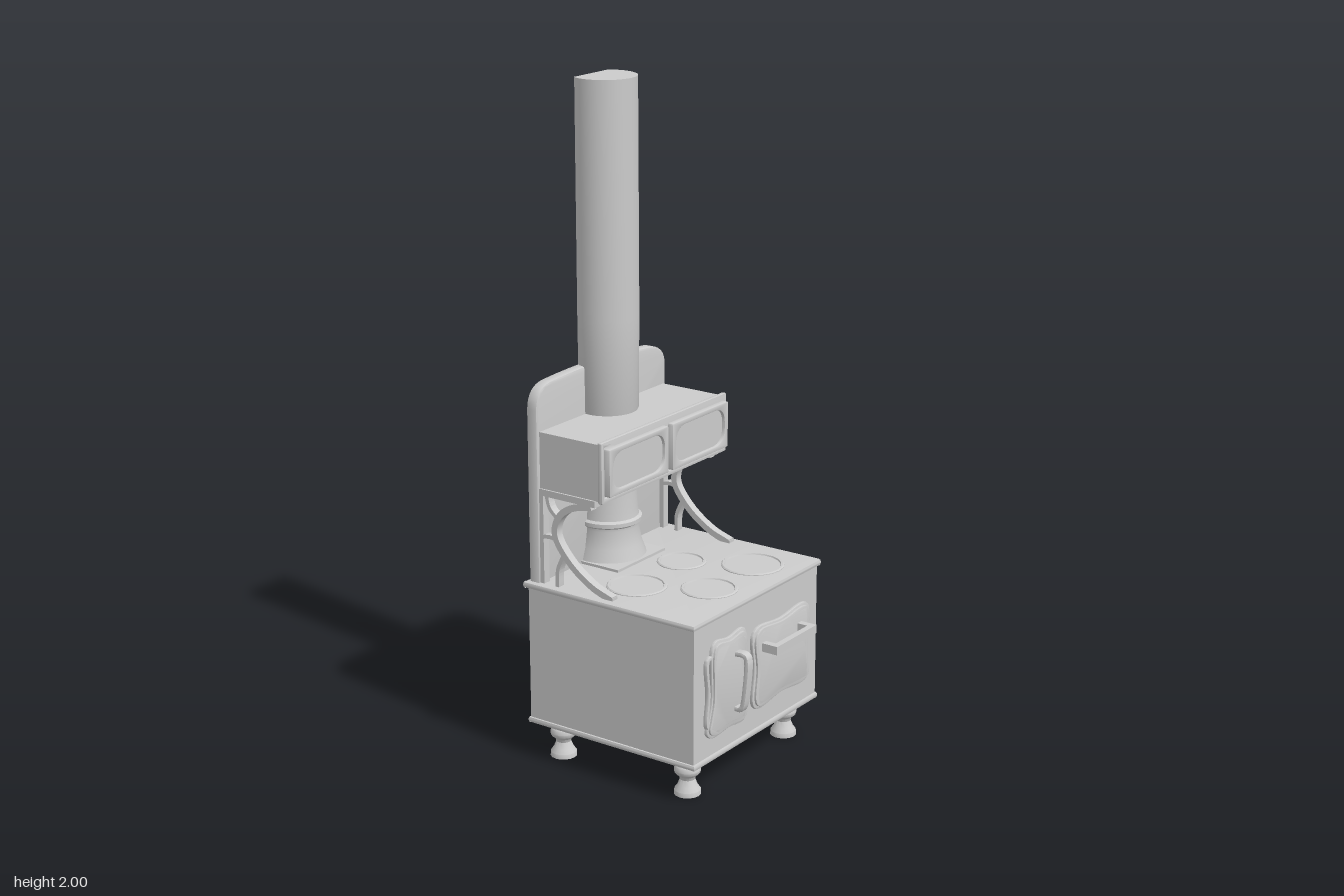
import * as THREE from 'three';
import { toCreasedNormals } from 'three/addons/utils/BufferGeometryUtils.js';

const material = new THREE.MeshStandardMaterial({ color: 0xcccccc });
const V2 = (p) => new THREE.Vector2(p[0], p[1]);

function add(parent, name, geometry, x = 0, y = 0, z = 0) {
  const mesh = new THREE.Mesh(toCreasedNormals(geometry, 0.6), material);
  mesh.name = name;
  mesh.position.set(x, y, z);
  parent.add(mesh);
  return mesh;
}

function addBox(parent, name, [x0, x1], [y0, y1], [z0, z1]) {
  return add(parent, name, new THREE.BoxGeometry(x1 - x0, y1 - y0, z1 - z0),
    (x0 + x1) / 2, (y0 + y1) / 2, (z0 + z1) / 2);
}

// Extrusion whose bevel stays inside the outline and the depth
function extrude(shape, depth, bevel = 0) {
  return new THREE.ExtrudeGeometry(shape, {
    depth: depth - 2 * bevel, bevelEnabled: bevel > 0, bevelThickness: bevel,
    bevelSize: bevel, bevelOffset: -bevel, bevelSegments: 2, curveSegments: 8,
  }).translate(0, 0, bevel);
}

function roundedRect(w, h, r, Type = THREE.Shape) {
  const s = new Type(), x = w / 2, y = h / 2;
  s.moveTo(-x + r, -y);
  s.lineTo(x - r, -y).quadraticCurveTo(x, -y, x, -y + r);
  s.lineTo(x, y - r).quadraticCurveTo(x, y, x - r, y);
  s.lineTo(-x + r, y).quadraticCurveTo(-x, y, -x, y - r);
  s.lineTo(-x, -y + r).quadraticCurveTo(-x, -y, -x + r, -y);
  return s;
}

// Strip of even thickness following a smooth path
function bandShape(points, thickness, tension = 0.5) {
  const curve = new THREE.CatmullRomCurve3(
    points.map(([x, y]) => new THREE.Vector3(x, y, 0)), false, 'catmullrom', tension);
  const left = [], right = [];
  for (let i = 0; i <= 24; i++) {
    const p = curve.getPoint(i / 24), t = curve.getTangent(i / 24);
    const nx = -t.y * thickness / 2, ny = t.x * thickness / 2;
    left.push(new THREE.Vector2(p.x + nx, p.y + ny));
    right.unshift(new THREE.Vector2(p.x - nx, p.y - ny));
  }
  return new THREE.Shape([...left, ...right]);
}

// Turns a (z, y) profile extrusion so that its width is centred on x = 0
function sideways(geometry, width) {
  return geometry.rotateY(-Math.PI / 2).translate(width / 2, 0, 0);
}

// Closed wavy outline, scaled about a centre
function wavyShape(points, cx, cy, scale) {
  const curve = new THREE.CatmullRomCurve3(points.map(([x, y]) =>
    new THREE.Vector3(cx + (x - cx) * scale, cy + (y - cy) * scale, 0)), true);
  return new THREE.Shape(curve.getPoints(60).slice(0, -1).map((p) => new THREE.Vector2(p.x, p.y)));
}

function slab(w, d, h, bevel) {
  return extrude(roundedRect(w, d, 0.002), h, bevel).rotateX(-Math.PI / 2);
}

function ovenDoor(parent, name, points, cx, cy) {
  const door = new THREE.Group();
  door.name = name;
  add(door, 'doorPlate', extrude(wavyShape(points, cx, cy, 1), 0.012, 0.004), 0, 0, 0.268);
  const frame = wavyShape(points, cx, cy, 0.94);
  frame.holes.push(wavyShape(points, cx, cy, 0.86));
  add(door, 'doorRim', extrude(frame, 0.01, 0.002), 0, 0, 0.276);
  parent.add(door);
  return door;
}

export function createModel() {
  const stove = new THREE.Group();
  stove.name = 'stove';

  // Oven body with bevelled base and cooking plates
  addBox(stove, 'ovenBody', [-0.32, 0.32], [0.115, 0.54], [-0.322, 0.267]);
  add(stove, 'basePlate', slab(0.65, 0.602, 0.018, 0.006), 0, 0.11, -0.028);
  add(stove, 'cookingPlate', slab(0.662, 0.61, 0.02, 0.008), 0, 0.537, -0.03);

  // Turned feet
  const foot = [[0, 0], [0.04, 0], [0.039, 0.014], [0.03, 0.026], [0.022, 0.046], [0.025, 0.056],
    [0.037, 0.066], [0.04, 0.076], [0.037, 0.088], [0.027, 0.098], [0.025, 0.115]].map(V2);
  for (const x of [-0.255, 0.25]) for (const z of [0.2, -0.252])
    add(stove, 'foot', new THREE.LatheGeometry(foot, 16), x, 0, z);

  // Burner lids with raised rims
  for (const [x, z, r] of [[-0.065, 0.143, 0.085], [0.172, 0.135, 0.095],
    [-0.167, -0.042, 0.09], [0.073, -0.053, 0.075]]) {
    const rim = [[0, 0], [r, 0], [r, 0.004], [r - 0.004, 0.007], [r - 0.01, 0.007],
      [r - 0.012, 0.003], [0, 0.003]].map(V2);
    add(stove, 'burner', new THREE.LatheGeometry(rim, 18), x, 0.555, z);
  }

  // Back panel with rounded upper corners and a slight arch
  const panel = new THREE.Shape();
  panel.moveTo(-0.315, 0.55);
  panel.lineTo(0.315, 0.55).lineTo(0.315, 1.08).quadraticCurveTo(0.312, 1.135, 0.24, 1.145);
  panel.quadraticCurveTo(0, 1.168, -0.24, 1.153);
  panel.quadraticCurveTo(-0.312, 1.148, -0.315, 1.08).lineTo(-0.315, 0.55);
  add(stove, 'backPanel', extrude(panel, 0.036, 0.006), 0, 0, -0.322);

  // Warming cabinet
  addBox(stove, 'warmingCabinet', [-0.303, 0.303], [0.845, 1.015], [-0.29, -0.068]);
  const rim = roundedRect(0.62, 0.182, 0.004);
  rim.holes.push(roundedRect(0.592, 0.152, 0.004, THREE.Path));
  add(stove, 'cabinetRim', extrude(rim, 0.016, 0.004), 0, 0.932, -0.073);
  for (const side of [-1, 1]) {
    const frame = roundedRect(0.285, 0.142, 0.006);
    frame.holes.push(roundedRect(0.25, 0.112, 0.05, THREE.Path));
    add(stove, 'cabinetDoor', extrude(frame, 0.03, 0.003), side * 0.153, 0.932, -0.07);
    add(stove, 'cabinetDoorInset', extrude(roundedRect(0.254, 0.116, 0.05), 0.02),
      side * 0.153, 0.932, -0.07);
  }

  // Curved shelf brackets
  for (const side of [-1, 1]) {
    const bracket = new THREE.Group();
    bracket.name = 'shelfBracket';
    bracket.position.x = side * 0.296;
    const w = 0.025;
    const curves = [
      [[-0.03, 0.558], [-0.10, 0.583], [-0.17, 0.63], [-0.222, 0.69],
        [-0.232, 0.735], [-0.21, 0.78], [-0.165, 0.81], [-0.1, 0.826]],
      [[-0.22, 0.7], [-0.25, 0.705], [-0.28, 0.7]],
      [[-0.2, 0.66], [-0.222, 0.61], [-0.225, 0.557]],
      [[-0.22, 0.765], [-0.25, 0.795], [-0.262, 0.842]],
    ];
    curves.forEach((points, i) => add(bracket, i ? 'bracketStrut' : 'bracketCurve',
      sideways(extrude(bandShape(points, i ? 0.012 : 0.02), w), w)));
    addBox(bracket, 'bracketPost', [-w / 2, w / 2], [0.555, 0.845], [-0.288, -0.272]);
    addBox(bracket, 'bracketTop', [-w / 2, w / 2], [0.826, 0.846], [-0.28, -0.085]);
    addBox(bracket, 'bracketFoot', [-w / 2, w / 2], [0.553, 0.565], [-0.05, -0.025]);
    stove.add(bracket);
  }

  // Stovepipe, flattened where it meets the wall
  const pipe = [[0, 0.555], [0.115, 0.555], [0.112, 0.567], [0.1, 0.6], [0.09, 0.655], [0.091, 0.664],
    [0.1, 0.67], [0.1, 0.682], [0.091, 0.688], [0.088, 0.71], [0.08, 0.86], [0.085, 1.0],
    [0.092, 1.02], [0.095, 1.3], [0.095, 2], [0, 2]].map(V2);
  const pipeGeometry = new THREE.LatheGeometry(pipe, 32);
  const pos = pipeGeometry.attributes.position;
  for (let i = 0; i < pos.count; i++) pos.setZ(i, Math.max(pos.getZ(i), -0.048));
  add(stove, 'stovepipe', pipeGeometry, 0.004, 0, -0.272);
  addBox(stove, 'pipeBase', [-0.115, 0.123], [0.553, 0.565], [-0.288, -0.15]);

  // Firebox door with an upright curved handle
  const firebox = ovenDoor(stove, 'fireboxDoor', [[-0.245, 0.46], [-0.225, 0.478], [-0.16, 0.47],
    [-0.09, 0.478], [-0.072, 0.455], [-0.08, 0.33], [-0.068, 0.21], [-0.085, 0.186], [-0.16, 0.19],
    [-0.245, 0.186], [-0.27, 0.205], [-0.262, 0.24], [-0.247, 0.3]], -0.16, 0.33);
  add(firebox, 'fireboxHandle', sideways(extrude(bandShape([[0.276, 0.408], [0.308, 0.408],
    [0.318, 0.385], [0.313, 0.31], [0.302, 0.245], [0.276, 0.238]], 0.015), 0.028, 0.004), 0.028), -0.12);
  add(firebox, 'doorHinge', extrude(bandShape([[-0.238, 0.435], [-0.262, 0.43], [-0.267, 0.4],
    [-0.258, 0.32], [-0.267, 0.24], [-0.25, 0.21]], 0.012), 0.014, 0.003), 0, 0, 0.266);

  // Oven door with a horizontal bar handle
  const oven = ovenDoor(stove, 'ovenDoor', [[-0.04, 0.425], [-0.015, 0.45], [0.11, 0.442],
    [0.235, 0.452], [0.262, 0.43], [0.253, 0.32], [0.265, 0.215], [0.24, 0.197], [0.11, 0.205],
    [-0.01, 0.193], [-0.037, 0.215], [-0.03, 0.32]], 0.112, 0.322);
  addBox(oven, 'ovenHandleBar', [0.006, 0.218], [0.37, 0.396], [0.314, 0.333]);
  for (const x of [0.006, 0.196]) addBox(oven, 'ovenHandlePost', [x, x + 0.022], [0.37, 0.396], [0.276, 0.32]);

  return stove;
}
